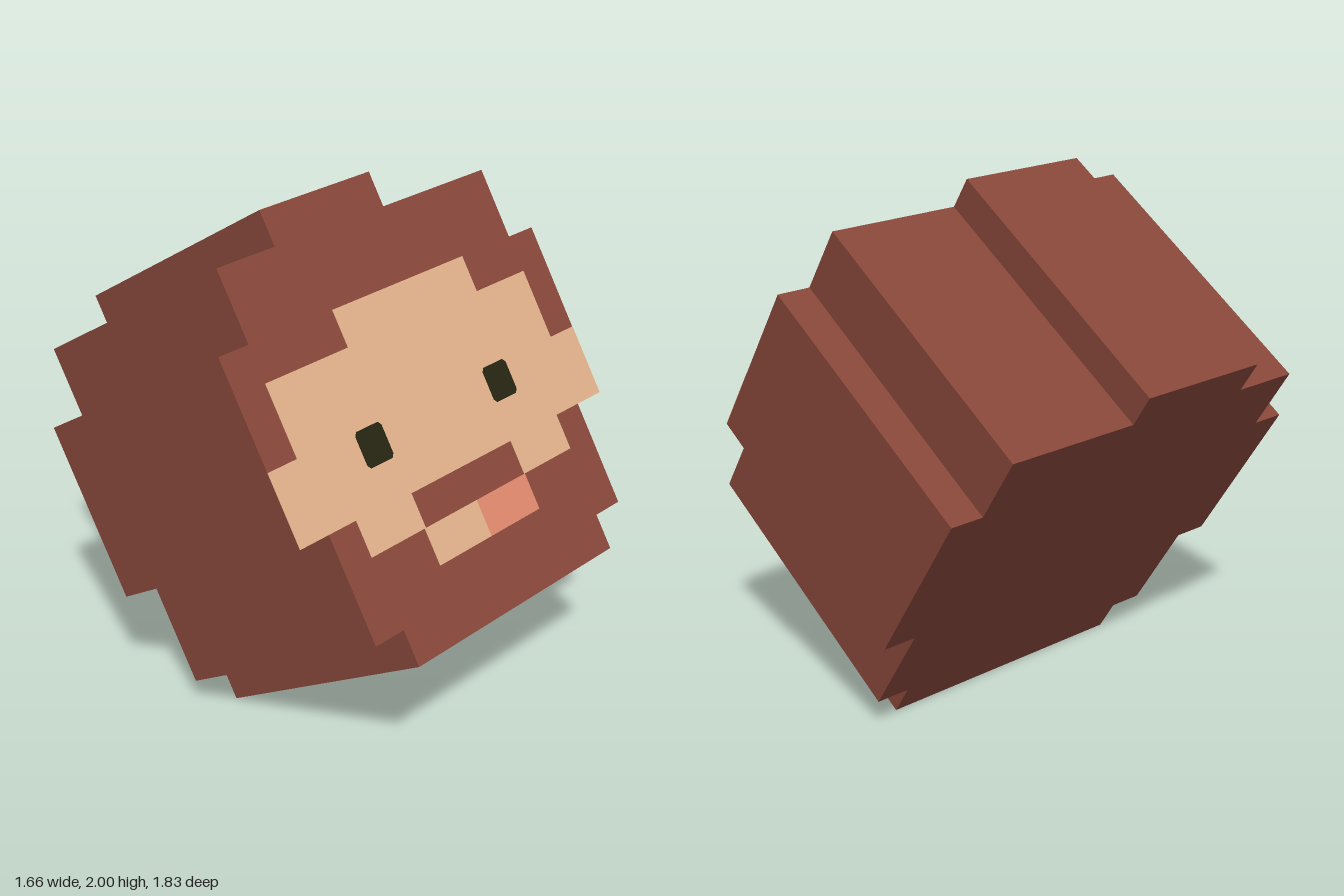
import * as THREE from 'three';

const material = (name, color) => {
  const m = new THREE.MeshStandardMaterial({ color });
  m.name = name;
  return m;
};

export function createModel() {
  const brown = material('hairBrown', 0x864639);
  const skin = material('skin', 0xddae87);
  const pink = material('tonguePink', 0xdd866c);
  const dark = material('eyeDark', 0x262310);

  const model = new THREE.Group();
  model.name = 'blockHead';

  // The head leans back: its front plane is tilted about x
  const tilt = Math.atan2(0.89, 1.4);
  const depth = 1.11;
  const baseY = 0.6;
  const head = new THREE.Group();
  head.name = 'tiltedHead';
  head.rotation.x = -tilt;
  head.position.set(0, baseY, 0.912);
  model.add(head);

  // Outlines are given as x and upright height, then laid on the tilted plane
  const outline = (points) => new THREE.Shape(
    points.map(([x, y]) => new THREE.Vector2(x, (y - baseY) / Math.cos(tilt))));
  const rect = (x0, x1, y0, y1) => [[x0, y0], [x1, y0], [x1, y1], [x0, y1]];

  const slab = (name, points, mat, z, thickness) => {
    const geo = new THREE.ExtrudeGeometry(outline(points),
      { depth: thickness, bevelEnabled: false });
    geo.translate(0, 0, z);
    const mesh = new THREE.Mesh(geo, mat);
    mesh.name = name;
    head.add(mesh);
  };

  // Stepped hair and beard block
  slab('hairAndBeard', [
    [-0.55, 0.6], [0.55, 0.6], [0.55, 0.717], [0.69, 0.717],
    [0.69, 1.065], [0.828, 1.065], [0.828, 1.652], [0.69, 1.652],
    [0.69, 1.885], [0.135, 1.885], [0.135, 2], [-0.417, 2],
    [-0.417, 1.885], [-0.69, 1.885], [-0.69, 1.652], [-0.828, 1.652],
    [-0.828, 1.065], [-0.69, 1.065], [-0.69, 0.717], [-0.55, 0.717],
  ], brown, -depth, depth);

  // Face, with a gap left for the moustache
  slab('face', [
    [-0.828, 1.065], [-0.557, 1.065], [-0.557, 0.948], [-0.277, 0.948],
    [-0.277, 1.06], [0.275, 1.06], [0.275, 0.948], [0.555, 0.948],
    [0.555, 1.065], [0.828, 1.065], [0.828, 1.3], [0.69, 1.3],
    [0.69, 1.532], [0.412, 1.532], [0.412, 1.652], [-0.287, 1.652],
    [-0.287, 1.532], [-0.69, 1.532], [-0.69, 1.3], [-0.828, 1.3],
  ], skin, 0, 0.002);

  // Mouth
  slab('mouth', rect(-0.283, 0, 0.828, 0.948), skin, 0, 0.002);
  slab('tongue', rect(0, 0.278, 0.828, 0.948), pink, 0, 0.002);

  // Eyes with clipped corners
  const eye = (name, x, y) => {
    const w = 0.066, h = 0.058, c = 0.012;
    slab(name, [
      [x - w + c, y - h], [x + w - c, y - h], [x + w, y - h + c], [x + w, y + h - c],
      [x + w - c, y + h], [x - w + c, y + h], [x - w, y + h - c], [x - w, y - h + c],
    ], dark, 0.001, 0.003);
  };
  eye('rightEye', -0.35, 1.238);
  eye('leftEye', 0.342, 1.246);

  return model;
}
